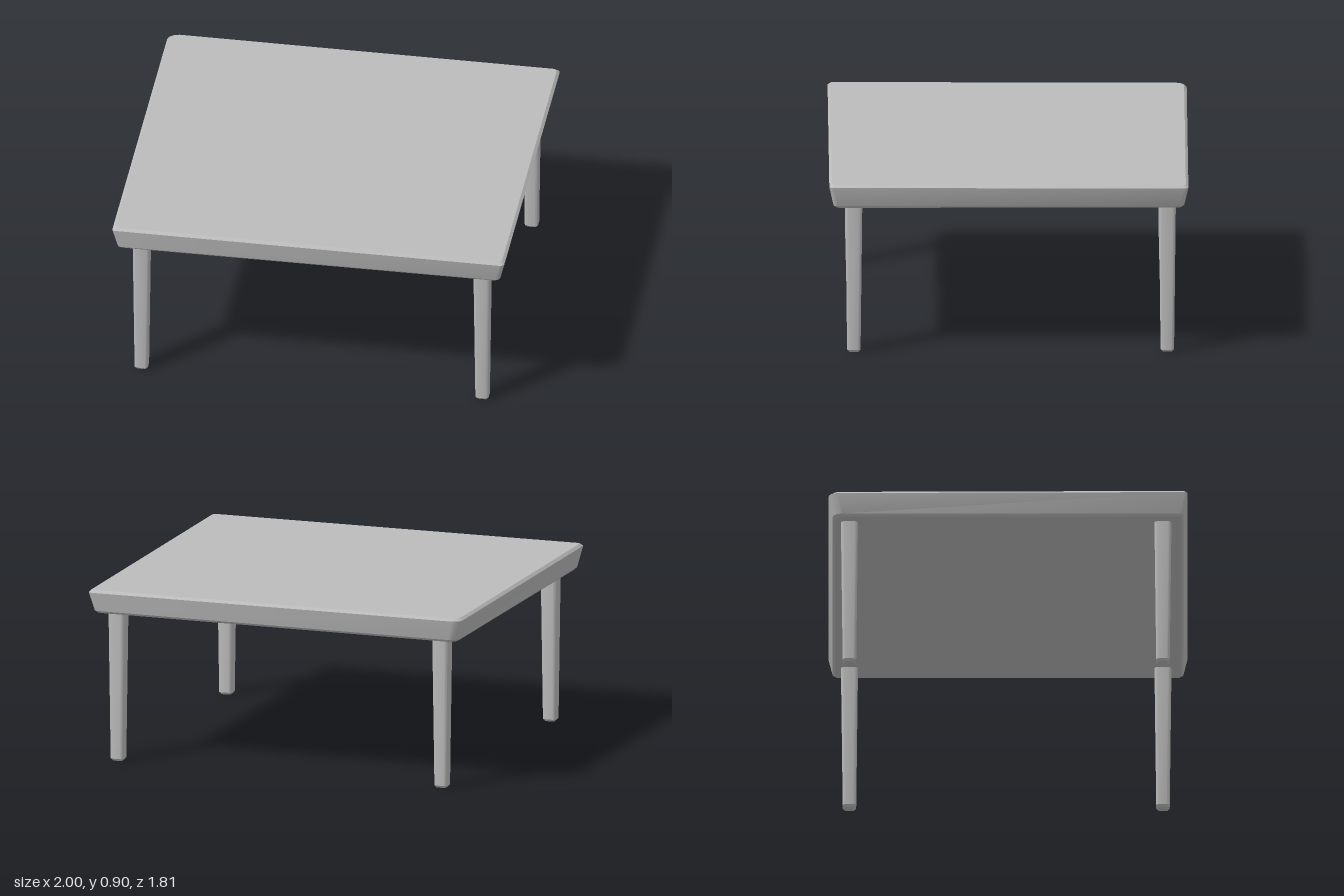
import * as THREE from 'three';
import { toCreasedNormals } from 'three/addons/utils/BufferGeometryUtils.js';

const STEPS = 3; // segments per rounded corner

// Rounded rectangle at one height; radii run (+x+z), (-x+z), (-x-z), (+x-z)
function ring(y, cx, cz, hx, hz, radii) {
  const pts = [];
  [[1, 1], [-1, 1], [-1, -1], [1, -1]].forEach(([sx, sz], i) => {
    const r = radii[i];
    for (let s = 0; s <= STEPS; s++) {
      const a = (i + s / STEPS) * Math.PI / 2;
      pts.push(new THREE.Vector3(
        cx + sx * (hx - r) + r * Math.cos(a), y,
        cz + sz * (hz - r) + r * Math.sin(a)));
    }
  });
  return pts;
}

// Closed solid through rings listed from bottom to top
function loft(rings) {
  const pos = [];
  const tri = (...v) => v.forEach(p => pos.push(p.x, p.y, p.z));
  const n = rings[0].length;
  const centre = r => r.reduce((s, p) => s.add(p), new THREE.Vector3()).divideScalar(n);
  const low = rings[0], high = rings[rings.length - 1];
  const c0 = centre(low), c1 = centre(high);
  for (let k = 0; k < n; k++) {
    const m = (k + 1) % n;
    for (let i = 0; i < rings.length - 1; i++) {
      const a = rings[i], b = rings[i + 1];
      tri(a[k], b[k], a[m]);
      tri(a[m], b[k], b[m]);
    }
    tri(c0, low[k], low[m]);
    tri(c1, high[m], high[k]);
  }
  const g = new THREE.BufferGeometry();
  g.setAttribute('position', new THREE.Float32BufferAttribute(pos, 3));
  return toCreasedNormals(g, 0.55);
}

export function createModel() {
  const group = new THREE.Group();
  group.name = 'table';
  const grey = new THREE.MeshStandardMaterial({ color: 0xbbbbbb });
  grey.name = 'grey';

  // Table top: flared slab with softened edges and one rounder back corner
  const corners = [0.022, 0.012, 0.045, 0.022];
  const slab = [
    ring(0.770, 0, 0, 0.963, 0.872, corners),
    ring(0.782, 0, 0, 0.975, 0.884, corners),
    ring(0.884, 0, 0, 1.0, 0.905, corners),
    ring(0.897, 0, 0, 0.986, 0.892, corners),
  ];
  // The upper face leans very slightly down towards +x and -z
  slab.slice(2).forEach(r => r.forEach(p => { p.y += 0.003 * (p.z - p.x); }));
  const top = new THREE.Mesh(loft(slab), grey);
  top.name = 'tableTop';
  group.add(top);

  // Legs: tapered square posts with rounded corners and bevelled feet
  for (const [side, x] of [['Left', 0.872], ['Right', -0.867]]) {
    for (const [end, z] of [['front', 0.781], ['back', -0.799]]) {
      const post = (y, h, r) => ring(y, x, z, h, h, [r, r, r, r]);
      const leg = new THREE.Mesh(loft([
        post(0, 0.024, 0.008),
        post(0.012, 0.034, 0.014),
        post(0.78, 0.043, 0.016),
      ]), grey);
      leg.name = `${end}${side}Leg`;
      group.add(leg);
    }
  }
  return group;
}
